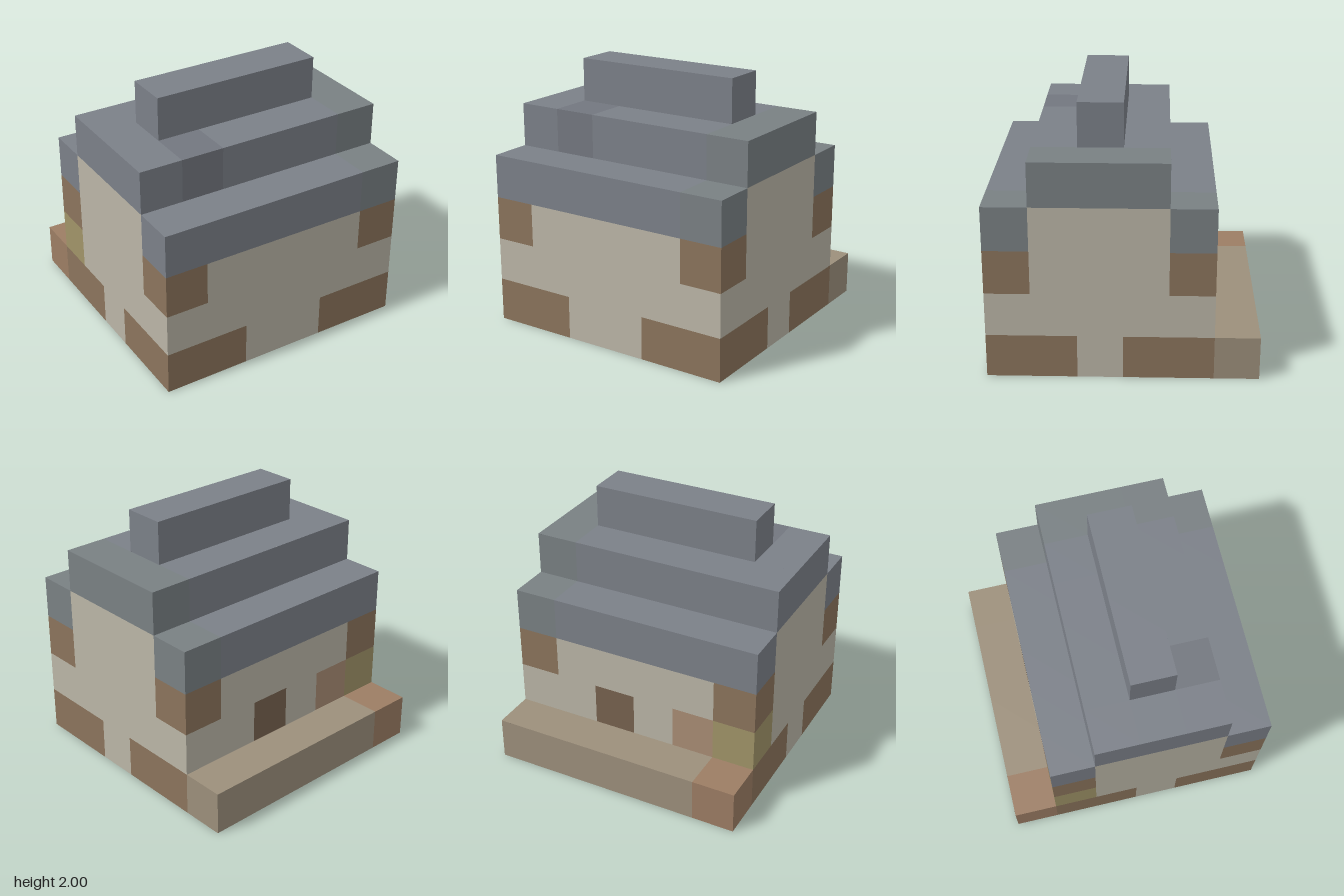
import * as THREE from 'three';
import { mergeGeometries } from 'three/addons/utils/BufferGeometryUtils.js';

const N = 6;          // cells per side
const U = 2 / N;      // cell size

const COLORS = {
  plasterWalls: 0xbab5a6,
  timberCorners: 0x8b745c,
  roof: 0x7b8088,
  roofEnd: 0x798083,
  roofPatch: 0x73777f,
  backStep: 0x9c8f7b,
  backStepEnd: 0x9c7d64,
  door: 0x77624f,
  warmWallPatch: 0xa98c74,
  yellowWallPatch: 0xa09468,
  roomFloor: 0x75644f,
};

// Which part fills cell i (x), j (y), k (z); null when empty
function partAt(i, j, k) {
  if (Math.min(i, j, k) < 0 || Math.max(i, j, k) >= N) return null;
  const sideEnd = i === 0 || i === 5;
  const wallEnd = k === 1 || k === 5;

  // step along the back
  if (k === 0) return j > 0 ? null : i === 0 ? 'backStepEnd' : 'backStep';

  // stepped roof: eaves, middle tier, short ridge
  const eaves = j === 3 && wallEnd;
  const middle = j === 4 && k >= 2 && k <= 4;
  const ridge = j === 5 && k === 3 && !sideEnd;
  if (eaves || middle || ridge) {
    if (i === 1 && j === 4 && k === 4) return 'roofPatch';
    return i === 5 ? 'roofEnd' : 'roof';
  }
  if (j > 3) return null;

  // hollow room above its floor
  if (!sideEnd && !wallEnd) return j === 0 ? 'roomFloor' : null;

  // odd cells in the back wall
  if (j === 1 && k === 1) {
    if (i === 3) return 'door';
    if (i === 1) return 'warmWallPatch';
    if (i === 0) return 'yellowWallPatch';
  }

  // timber at the foot and the top of each corner
  const foot = j === 0 && (i < 2 || i > 3) && k !== 3;
  const top = j === 2 && sideEnd && wallEnd;
  return foot || top ? 'timberCorners' : 'plasterWalls';
}

const DIRECTIONS = [
  [1, 0, 0], [-1, 0, 0], [0, 1, 0], [0, -1, 0], [0, 0, 1], [0, 0, -1],
];

export function createModel() {
  const group = new THREE.Group();
  group.name = 'blockHouse';
  const faces = {};

  // one square for each exposed cell side; the underside stays open
  for (let i = 0; i < N; i++)
    for (let j = 0; j < N; j++)
      for (let k = 0; k < N; k++) {
        const part = partAt(i, j, k);
        if (!part) continue;
        for (const [dx, dy, dz] of DIRECTIONS) {
          if (j + dy < 0 || partAt(i + dx, j + dy, k + dz)) continue;
          const face = new THREE.PlaneGeometry(U, U);
          face.translate(0, 0, U / 2);
          face.lookAt(new THREE.Vector3(dx, dy, dz));
          face.translate(-1 + (i + 0.5) * U, (j + 0.5) * U, -1 + (k + 0.5) * U);
          (faces[part] ??= []).push(face);
        }
      }

  for (const [name, list] of Object.entries(faces)) {
    const material = new THREE.MeshStandardMaterial({
      color: COLORS[name], side: THREE.DoubleSide,
    });
    const mesh = new THREE.Mesh(mergeGeometries(list), material);
    mesh.name = name;
    group.add(mesh);
  }
  return group;
}
